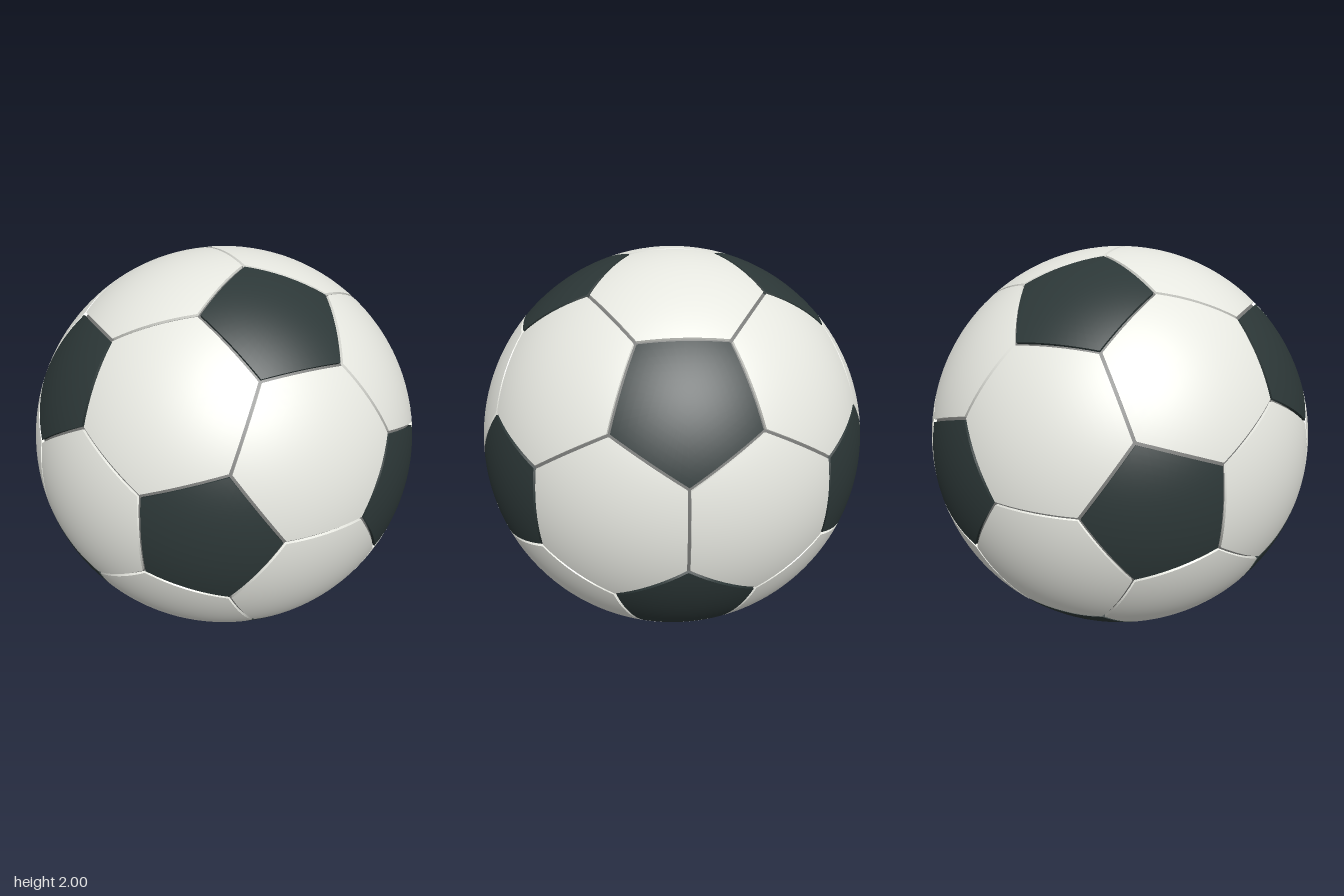
import * as THREE from 'three';

const PANEL_R = 1, SEAM_R = 0.985, HALF_GAP = 0.008;
const RINGS = 8, STEPS = 8;

// Curved panel over a polygon of corners: spherical dome plus a wall down into the seam
function panelGeometry(corners) {
  const mid = new THREE.Vector3();
  corners.forEach((c) => mid.addScaledVector(c, 1 / corners.length));
  const axis = mid.clone().normalize();
  const u = corners[0].clone().sub(mid).normalize();
  const v = axis.clone().cross(u);
  const angle = (p) => Math.atan2(p.clone().sub(mid).dot(v), p.clone().sub(mid).dot(u));
  const sorted = [...corners].sort((a, b) => angle(a) - angle(b));

  // Outline, pulled in by half the seam width
  const apothem = sorted[0].clone().lerp(sorted[1], 0.5).distanceTo(mid);
  const shrink = 1 - HALF_GAP / apothem;
  const outline = [];
  sorted.forEach((c, i) => {
    const next = sorted[(i + 1) % sorted.length];
    for (let j = 0; j < STEPS; j++) outline.push(c.clone().lerp(next, j / STEPS).sub(mid).multiplyScalar(shrink));
  });

  const n = outline.length, pos = [], normals = [], index = [];
  const addRing = (t, r, wall) => outline.forEach((o) => {
    const p = mid.clone().addScaledVector(o, t).normalize();
    const normal = wall ? o.clone().normalize() : p;
    normals.push(normal.x, normal.y, normal.z);
    pos.push(p.x * r, p.y * r, p.z * r);
  });
  const joinRings = (a, b) => {
    for (let j = 0; j < n; j++) {
      const k = (j + 1) % n;
      index.push(a + j, b + j, b + k, a + j, b + k, a + k);
    }
  };
  for (let k = 0; k <= RINGS; k++) addRing(k / RINGS, PANEL_R, false);
  for (let k = 0; k < RINGS; k++) joinRings(k * n, (k + 1) * n);
  const wall = (RINGS + 1) * n;
  addRing(1, PANEL_R, true);
  addRing(1, SEAM_R - 0.005, true);
  joinRings(wall, wall + n);

  const g = new THREE.BufferGeometry();
  g.setAttribute('position', new THREE.Float32BufferAttribute(pos, 3));
  g.setAttribute('normal', new THREE.Float32BufferAttribute(normals, 3));
  g.setIndex(index);
  return g;
}

export function createModel() {
  const white = new THREE.MeshStandardMaterial({ name: 'white panel', color: 0xe6e7e0 });
  const black = new THREE.MeshStandardMaterial({ name: 'dark panel', color: 0x2c3737 });
  const grey = new THREE.MeshStandardMaterial({ name: 'grey seam', color: 0x777876 });

  const ball = new THREE.Group();
  ball.name = 'ball';
  ball.position.y = 1;
  const add = (name, geometry, material) => {
    const m = new THREE.Mesh(geometry, material);
    m.name = name;
    ball.add(m);
  };

  // Icosahedron corners: the centres of the dark panels
  const phi = (1 + Math.sqrt(5)) / 2, ico = [];
  for (const a of [-1, 1]) for (const b of [-phi, phi]) {
    ico.push(new THREE.Vector3(a, 0, b), new THREE.Vector3(0, b, a), new THREE.Vector3(b, a, 0));
  }
  const near = (p, q) => p !== q && p.distanceTo(q) < 2.1;
  const cut = (p, q) => p.clone().lerp(q, 1 / 3).normalize();

  // Seams
  add('seams', new THREE.SphereGeometry(SEAM_R, 96, 64), grey);

  // Twelve pentagons
  ico.forEach((p) => {
    const corners = ico.filter((q) => near(p, q)).map((q) => cut(p, q));
    add('pentagonPanel', panelGeometry(corners), black);
  });

  // Twenty hexagons
  ico.forEach((a, i) => ico.forEach((b, j) => ico.forEach((c, k) => {
    if (!(i < j && j < k && near(a, b) && near(b, c) && near(a, c))) return;
    const corners = [cut(a, b), cut(b, a), cut(b, c), cut(c, b), cut(c, a), cut(a, c)];
    add('hexagonPanel', panelGeometry(corners), white);
  })));

  const model = new THREE.Group();
  model.name = 'football';
  model.add(ball);
  return model;
}
